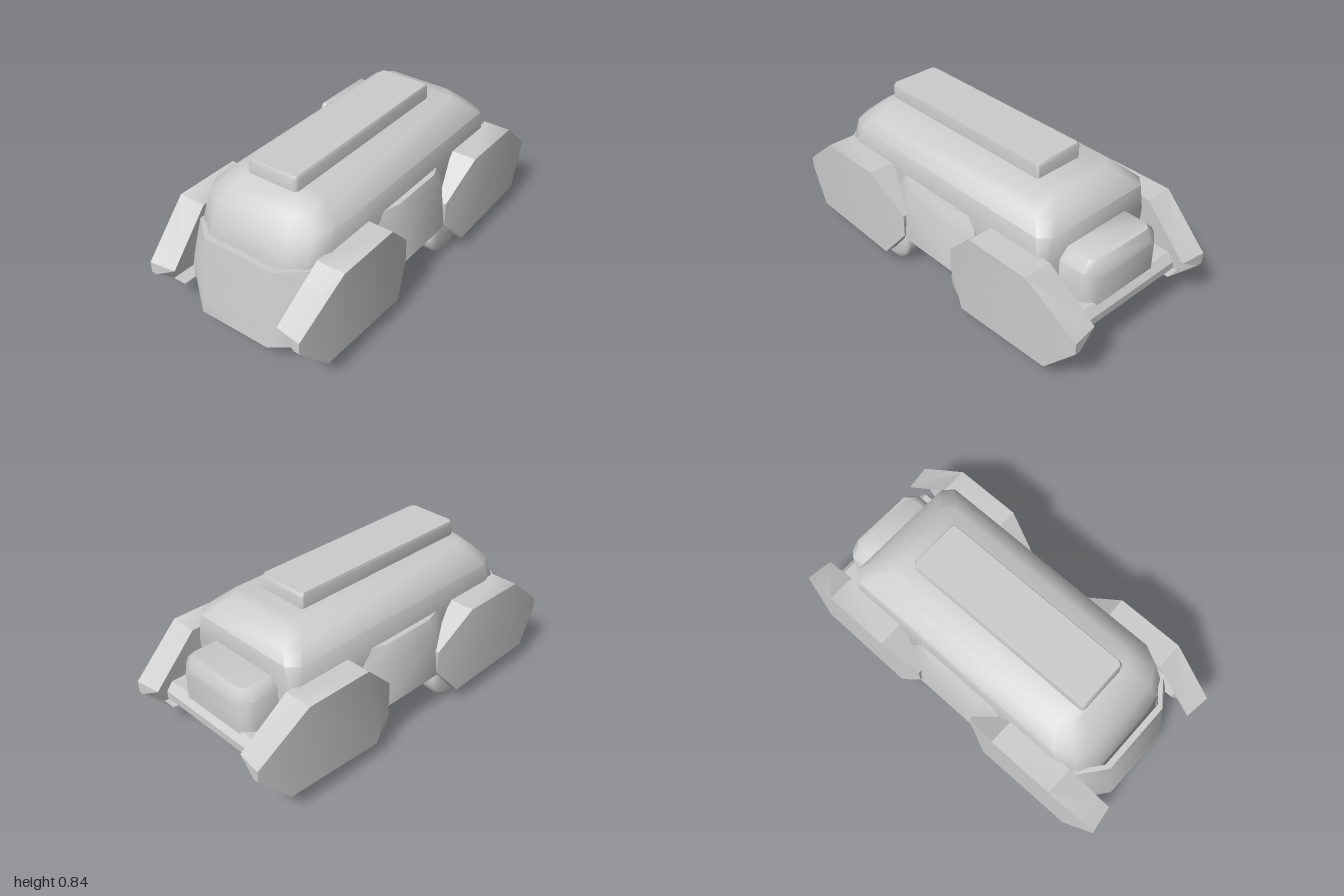
import * as THREE from 'three';
import { toCreasedNormals } from 'three/addons/utils/BufferGeometryUtils.js';

const grey = new THREE.MeshStandardMaterial({ color: 0xcccccc, side: THREE.DoubleSide });

// Skin between rings of equal, even point count; caps pair point i with n-1-i.
function loft(rings, { capStart = false, capEnd = false, crease = 0.6 } = {}) {
  const n = rings[0].length;
  const index = [];
  const quad = (a, b, c, d) => index.push(a, b, c, a, c, d);
  for (let r = 0; r < rings.length - 1; r++) {
    for (let i = 0; i < n; i++) {
      const j = (i + 1) % n;
      quad(r * n + i, r * n + j, (r + 1) * n + j, (r + 1) * n + i);
    }
  }
  const cap = (o, flip) => {
    for (let i = 0; i < n / 2 - 1; i++) {
      const q = [o + i, o + i + 1, o + n - 2 - i, o + n - 1 - i];
      quad(...(flip ? q.reverse() : q));
    }
  };
  if (capStart) cap(0, true);
  if (capEnd) cap((rings.length - 1) * n, false);
  const geo = new THREE.BufferGeometry();
  geo.setAttribute('position', new THREE.Float32BufferAttribute(rings.flat(2), 3));
  geo.setIndex(index);
  return toCreasedNormals(geo, crease);
}

function part(name, geo) {
  const mesh = new THREE.Mesh(geo, grey);
  mesh.name = name;
  return mesh;
}

// Horizontal outline with chamfered front and back corners
function hullRing(y, hx, zf, zb, cf, cb) {
  const half = [[hx - cf, zf], [hx - cf * 0.35, zf - cf * 0.3], [hx, zf - cf], [hx, zb + cb], [hx - cb, zb]];
  const left = half.map(([x, z]) => [x, y, z]);
  const right = half.map(([x, z]) => [-x, y, z]).reverse();
  return [...left, ...right];
}

// Hollow hull, open underneath
function hull() {
  return part('hull', loft([
    hullRing(0.32, 0.345, 0.82, -0.7, 0.14, 0.03),
    hullRing(0.5, 0.36, 0.81, -0.7, 0.14, 0.03),
    hullRing(0.645, 0.35, 0.76, -0.7, 0.14, 0.05),
    hullRing(0.7, 0.295, 0.7, -0.65, 0.12, 0.06),
    hullRing(0.758, 0.23, 0.63, -0.59, 0.08, 0.06),
  ], { capEnd: true, crease: 0.9 }));
}

// Raised spine along the roof
function roofSpine() {
  const ring = (y, hx, d) => hullRing(y, hx, 0.62 - d, -0.45 + d, 0.02, 0.01);
  return part('roofSpine', loft([ring(0.73, 0.142, 0), ring(0.82, 0.142, 0), ring(0.836, 0.135, 0.008)],
    { capEnd: true, crease: 0.7 }));
}

// Leaning wrap-around plate ahead of the hull
function frontBumper() {
  const rows = [[0.107, 0.33, 0.935], [0.18, 0.35, 0.923], [0.28, 0.365, 0.905], [0.4, 0.345, 0.887], [0.505, 0.327, 0.87]];
  return part('frontBumper', loft(rows.map(([y, hx, z]) => {
    const line = (d) => [[hx, y, z - 0.1 - d], [0.2, y, z - d], [-0.2, y, z - d], [-hx, y, z - 0.1 - d]];
    return [...line(0), ...line(0.03).reverse()];
  }), { capStart: true, capEnd: true, crease: 0.8 }));
}

// Shelf behind the hull with a sloping underside
function rearBumper() {
  const outline = [[-0.7, 0.33], [-0.88, 0.33], [-0.915, 0.29], [-0.915, 0.25], [-0.85, 0.2], [-0.7, 0.11]];
  const ring = (x) => outline.map(([z, y]) => [x, y, z]);
  return part('rearBumper', loft([ring(-0.335), ring(0.335)], { capStart: true, capEnd: true }));
}

// Bevelled box on the back wall
function rearHatch() {
  const ring = (z, hx, top, c) => [
    [hx, 0.3, z], [hx, top - c, z], [hx - c, top, z], [-hx + c, top, z], [-hx, top - c, z], [-hx, 0.3, z],
  ];
  return part('rearHatch', loft([ring(-0.68, 0.245, 0.548, 0.05), ring(-0.83, 0.245, 0.548, 0.05),
    ring(-0.86, 0.22, 0.545, 0.05), ring(-0.89, 0.19, 0.5, 0.04)], { capEnd: true, crease: 0.8 }));
}

// Eight-sided wheel hood: domed face with a rim turned inwards, open inside
function fender(name, dir) {
  // z, y, outer x, inner x
  const rim = [
    [1.0, 0.33, 0.45, 0.31], [0.73, 0.55, 0.49, 0.34], [0.37, 0.55, 0.49, 0.35], [0.18, 0.36, 0.445, 0.4],
    [0.18, 0.24, 0.445, 0.4], [0.3, 0.087, 0.485, 0.41], [0.85, 0.11, 0.485, 0.41], [1.0, 0.27, 0.45, 0.42],
  ];
  const outer = rim.map(([z, y, xo]) => [xo, y, z * dir]);
  const inner = rim.map(([z, y, , xi]) => [xi, y, (xi < 0.33 ? z - 0.02 : z) * dir]);
  return part(name, loft([inner, outer], { capEnd: true, crease: 0.7 }));
}

// Bulging skirt between the fenders
function sidePanel() {
  const rows = [[0.535, 0.28, -0.235, 0.35, 0.385], [0.45, 0.305, -0.27, 0.365, 0.415],
    [0.22, 0.305, -0.27, 0.37, 0.44], [0.11, 0.2, -0.16, 0.33, 0.335]];
  return part('sidePanel', loft(rows.map(([y, zf, zb, xe, xm]) => [
    [xe, y, zf], [xm, y, zf - 0.12], [xm, y, zb + 0.09], [xe, y, zb],
    [xe - 0.02, y, zb], [0.315, y, zb + 0.09], [0.315, y, zf - 0.12], [xe - 0.02, y, zf],
  ]), { capStart: true, capEnd: true, crease: 0.7 }));
}

// Disc wheel with a domed outer side
function wheel(name, z, r) {
  const profile = [[0, 0], [0.93, 0], [1, 0.01], [1, 0.075], [0.93, 0.09], [0.75, 0.098], [0.4, 0.103], [0, 0.105]];
  const geo = new THREE.LatheGeometry(profile.map(([k, h]) => new THREE.Vector2(k * r, h)), 28);
  geo.rotateZ(-Math.PI / 2);
  const mesh = part(name, geo);
  mesh.position.set(0.317, r, z);
  return mesh;
}

function sideAssembly(name, mirror) {
  const side = new THREE.Group();
  side.name = name;
  side.add(
    fender('frontFender', 1), fender('rearFender', -1), sidePanel(),
    wheel('frontLargeWheel', 0.632, 0.163), wheel('frontSmallWheel', 0.345, 0.14),
    wheel('rearSmallWheel', -0.267, 0.14), wheel('rearLargeWheel', -0.558, 0.163),
  );
  side.scale.x = mirror;
  return side;
}

export function createModel() {
  const model = new THREE.Group();
  model.name = 'armouredCarrier';
  model.add(hull(), roofSpine(), frontBumper(), rearBumper(), rearHatch());
  model.add(sideAssembly('leftSide', 1), sideAssembly('rightSide', -1));
  return model;
}
